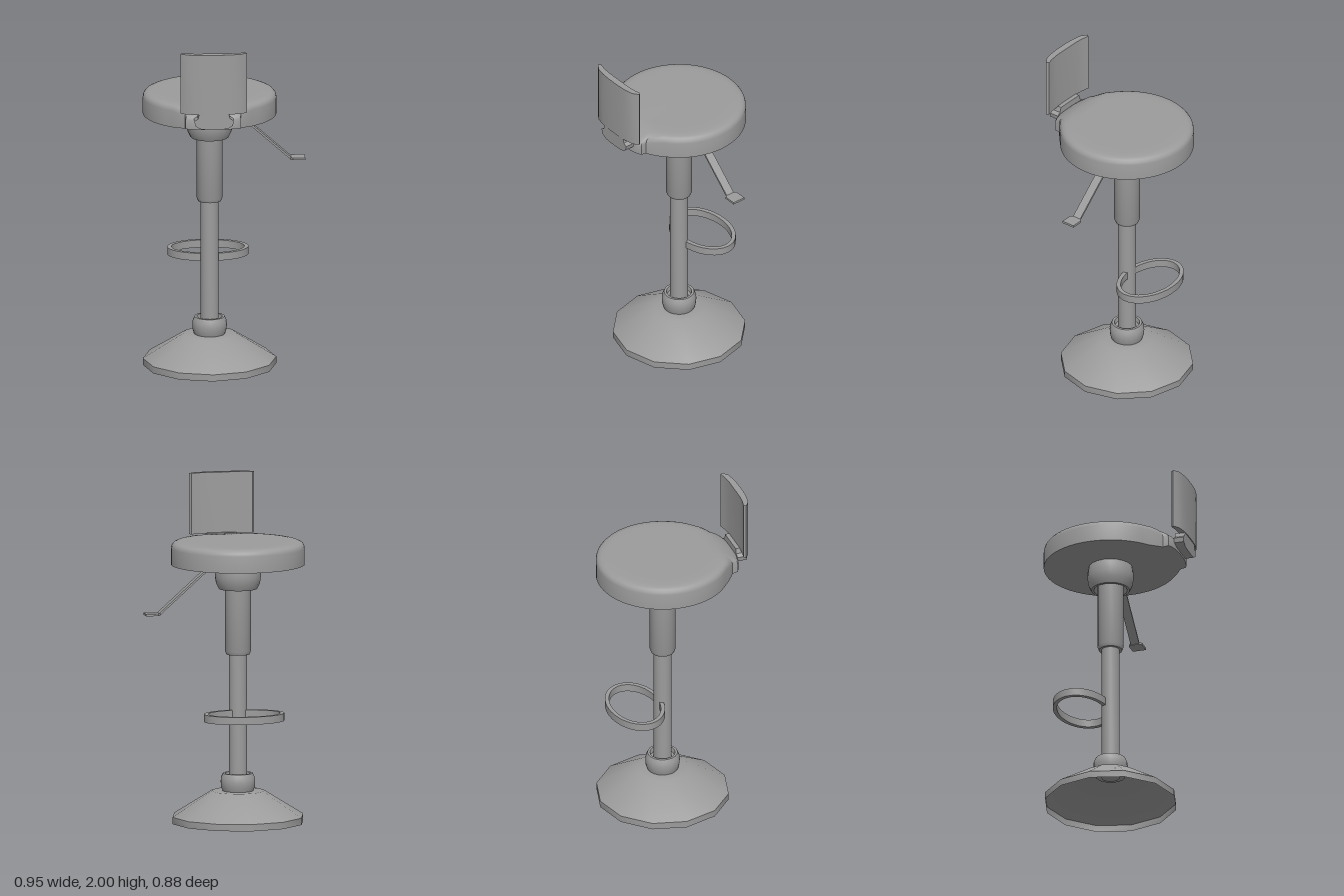
import * as THREE from 'three';
import { toCreasedNormals } from 'three/addons/utils/BufferGeometryUtils.js';

const CX = -0.084, CZ = -0.05; // axis of the column
const R = 0.39; // radius of the cushion and the foot

export function createModel() {
  const stool = new THREE.Group();
  stool.name = 'barStool';
  const grey = new THREE.MeshStandardMaterial({ color: 0x9c9c9c, side: THREE.DoubleSide });
  const V2 = (p) => new THREE.Vector2(p[0], p[1]);

  const add = (name, geometry, x = 0, y = 0, z = 0) => {
    const mesh = new THREE.Mesh(toCreasedNormals(geometry, 0.6), grey);
    mesh.name = name;
    mesh.position.set(x, y, z);
    stool.add(mesh);
  };
  // Turned part on the column axis; profile is [radius, y]
  const turned = (name, profile, sides) =>
    add(name, new THREE.LatheGeometry(profile.map(V2), sides), CX, 0, CZ);
  // Flat outline in x and z, raised by a height
  const slab = (name, shape, y, height, x = 0, z = 0) => {
    const geo = new THREE.ExtrudeGeometry(shape, { depth: height, bevelEnabled: false, curveSegments: 20 });
    add(name, geo.rotateX(-Math.PI / 2), x, y, z);
  };
  const planShape = (points) => new THREE.Shape(points.map(([x, z]) => new THREE.Vector2(x, -z)));
  const mirrored = (half) => [...half, ...half.map(([x, z]) => [-x, z]).reverse()];

  // Column: hollow faceted foot, collars and telescoping tubes
  turned('base', [[R, 0], [R, 0.04], [0.155, 0.187], [0.085, 0.187]], 12);
  turned('baseCollar', [[0.05, 0.18], [0.088, 0.18], [0.099, 0.21], [0.101, 0.24], [0.099, 0.265],
    [0.088, 0.29], [0.074, 0.29], [0.068, 0.265], [0.05, 0.255]], 20);
  turned('lowerPost', [[0, 0.17], [0.053, 0.17], [0.053, 1.01]], 20);
  turned('upperTube', [[0.05, 0.99], [0.068, 0.99], [0.076, 1.01], [0.076, 1.5]], 20);
  turned('seatCollar', [[0.076, 1.42], [0.098, 1.376], [0.112, 1.376], [0.129, 1.41], [0.135, 1.45],
    [0.134, 1.49], [0.128, 1.522]], 20);

  // Oval footrest band
  const oval = new THREE.Shape().absellipse(0, 0, 0.2375, 0.164, 0, Math.PI * 2);
  oval.holes.push(new THREE.Path().absellipse(0, 0, 0.213, 0.14, 0, Math.PI * 2, true));
  slab('footrest', oval, 0.62, 0.045, CX, -0.223);

  // Height lever: bent arm and flat paddle
  const arm = new THREE.Shape([[0, 1.496], [0.095, 1.496], [0.388, 1.236], [0.41, 1.236], [0.41, 1.247],
    [0.393, 1.247], [0.1, 1.507], [0, 1.507]].map(V2));
  add('leverArm', new THREE.ExtrudeGeometry(arm, { depth: 0.052, bevelEnabled: false }), 0, 0, -0.08);
  slab('leverPaddle', planShape([[0.385, -0.03], [0.4, -0.014], [0.473, -0.014], [0.473, -0.095],
    [0.4, -0.095], [0.385, -0.08]]), 1.235, 0.013);

  add('seat', seatGeometry(), CX, 0, CZ);

  // Bracket under the backrest, with a rounded lower edge
  const bracket = new THREE.Shape(mirrored([[0.085, 1.645], [0.094, 1.615], [0.115, 1.6], [0.11, 1.572],
    [0.082, 1.554], [0.04, 1.548]]).map(V2));
  add('backBracket', new THREE.ExtrudeGeometry(bracket, { depth: 0.06, bevelEnabled: false }), CX, 0, 0.375);

  // Curved backrest panel
  slab('backrest', planShape(mirrored([[0.09, 0.4], [0.14, 0.395], [0.183, 0.385], [0.194, 0.398],
    [0.16, 0.424], [0.1, 0.436], [0.04, 0.44]])), 1.64, 0.36, CX);
  return stool;
}

// Round cushion with a rear lobe, lofted between an outer outline and an inner circle
function seatGeometry() {
  const lobe = [[0.04, 0.436], [0.09, 0.432], [0.14, 0.42], [0.162, 0.408], [0.162, 0.39],
    [0.163, 0.374], [0.185, 0.358], [0.215, 0.333]];
  const start = Math.atan2(0.24, 0.305), arcs = 48, inset = 0.85;
  const onCircle = (t, r) => [Math.sin(t) * r, Math.cos(t) * r];
  const half = lobe.map((outer, i) => ({ outer, inner: onCircle(start * (i + 0.5) / lobe.length, R * inset) }));
  const rim = [...half];
  for (let i = 0; i <= arcs; i++) {
    const t = start + (i / arcs) * (Math.PI * 2 - 2 * start);
    rim.push({ outer: onCircle(t, R), inner: onCircle(t, R * inset) });
  }
  half.reverse().forEach(({ outer, inner }) =>
    rim.push({ outer: [-outer[0], outer[1]], inner: [-inner[0], inner[1]] }));

  // Levels are [scale, y]; the lobe sinks towards its rear edge
  const levels = [[0, 1.52], [inset, 1.52], [1, 1.52], [1, 1.618], [0.99, 1.634], [0.965, 1.646],
    [0.92, 1.653], [inset, 1.656], [0.7, 1.656], [0, 1.656]];
  const positions = [], index = [], n = rim.length;
  levels.forEach(([s, y], k) => {
    const out = Math.max(0, (s - inset) / (1 - inset)), shrink = Math.min(1, s / inset);
    rim.forEach(({ outer, inner }) => {
      const [x, z] = [0, 1].map((c) => THREE.MathUtils.lerp(inner[c] * shrink, outer[c], out));
      const drop = THREE.MathUtils.smoothstep(z, 0.31, 0.42);
      positions.push(x, y + drop * (y > 1.6 ? -0.03 : 0.015), z);
    });
    if (k === 0) return;
    for (let j = 0; j < n; j++) {
      const a = (k - 1) * n + j, b = (k - 1) * n + ((j + 1) % n);
      index.push(a, b, b + n, a, b + n, a + n);
    }
  });
  const geo = new THREE.BufferGeometry();
  geo.setAttribute('position', new THREE.Float32BufferAttribute(positions, 3));
  geo.setIndex(index);
  return geo;
}
